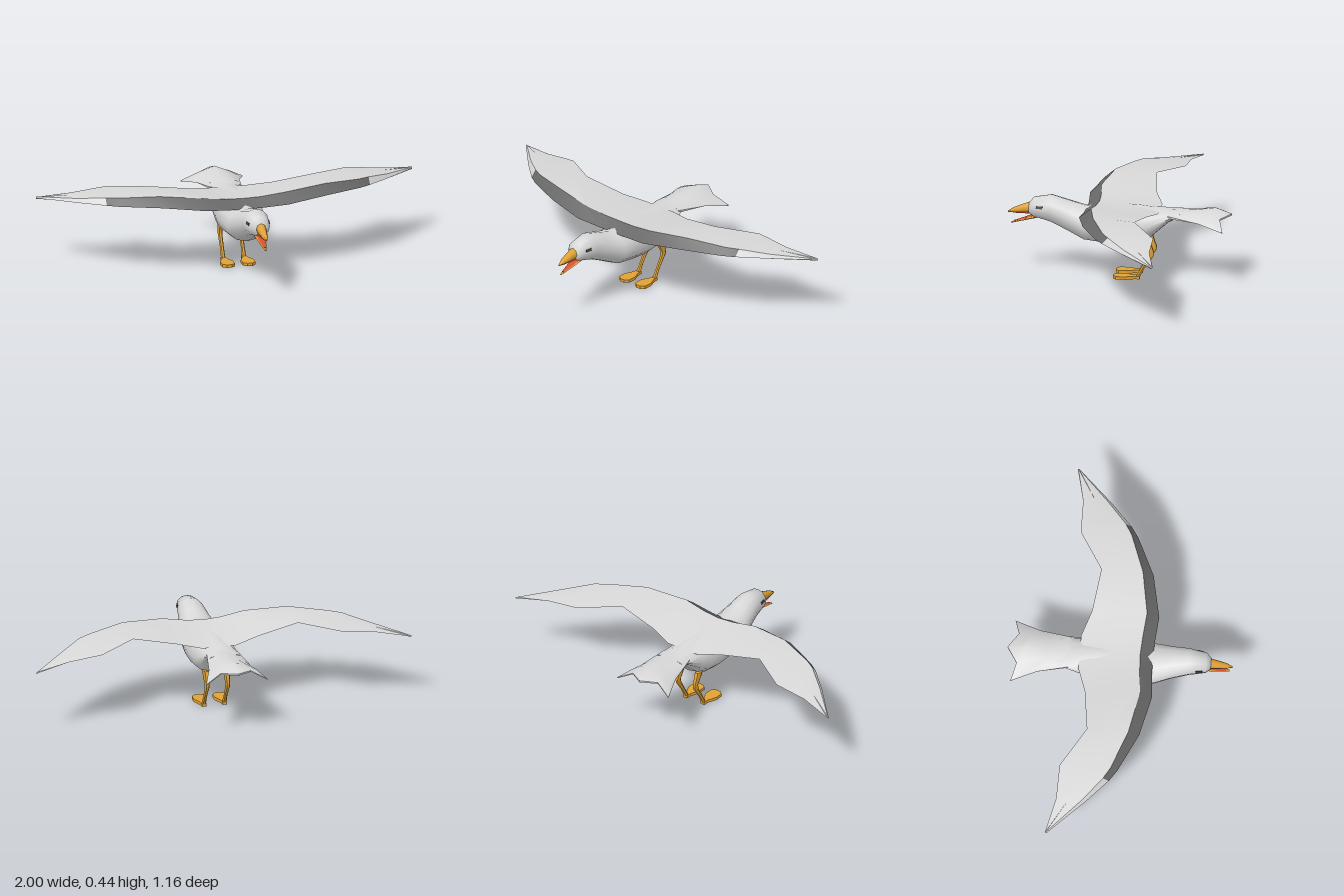
import * as THREE from 'three';
import { toCreasedNormals } from 'three/addons/utils/BufferGeometryUtils.js';

const paint = (name, color) => {
  const m = new THREE.MeshStandardMaterial({ color });
  m.name = name;
  return m;
};

// Skin closed rings of points into a capped solid whose faces point outwards
function loft(rings, crease = 0.9) {
  const n = rings[0].length, tris = [];
  const centre = (r) => r.reduce((s, p) => s.add(p), new THREE.Vector3()).divideScalar(n);
  for (let i = 0; i < rings.length - 1; i++) {
    for (let j = 0; j < n; j++) {
      const k = (j + 1) % n;
      const a = rings[i][j], b = rings[i][k], c = rings[i + 1][k], d = rings[i + 1][j];
      tris.push([a, b, c], [a, c, d]);
    }
  }
  const first = rings[0], last = rings[rings.length - 1];
  const c0 = centre(first), c1 = centre(last);
  for (let j = 0; j < n; j++) {
    const k = (j + 1) % n;
    tris.push([c0, first[k], first[j]], [c1, last[j], last[k]]);
  }
  const volume = tris.reduce((s, [a, b, c]) => s + a.dot(b.clone().cross(c)), 0);
  const pos = [];
  for (const [a, b, c] of tris) {
    for (const p of volume < 0 ? [a, c, b] : [a, b, c]) pos.push(p.x, p.y, p.z);
  }
  const g = new THREE.BufferGeometry();
  g.setAttribute('position', new THREE.Float32BufferAttribute(pos, 3));
  return toCreasedNormals(g, crease);
}

// Elliptical rings along z from [z, top, bottom, half width]
const zRings = (rows, sides) => rows.map(([z, top, bottom, hw]) =>
  Array.from({ length: sides }, (_, j) => {
    const a = (j / sides) * Math.PI * 2;
    return new THREE.Vector3(Math.cos(a) * hw, (top + bottom) / 2 + Math.sin(a) * (top - bottom) / 2, z);
  }));

export function createModel() {
  const model = new THREE.Group();
  model.name = 'bird';
  const grey = paint('plumage grey', 0xd8d8d8);
  const edgeGrey = paint('wing edge dark grey', 0x686868);
  const orange = paint('beak and leg orange', 0xe0a234);
  const red = paint('mouth and sole red', 0xd2522e);
  const dark = paint('eye dark', 0x444444);
  const add = (name, geometry, material, parent = model) => {
    const m = new THREE.Mesh(geometry, material);
    m.name = name;
    parent.add(m);
    return m;
  };

  // Head, neck and body
  add('body', loft(zRings([
    [0.47, 0.375, 0.315, 0.03], [0.445, 0.405, 0.3, 0.053], [0.355, 0.421, 0.275, 0.07],
    [0.27, 0.396, 0.235, 0.085], [0.18, 0.368, 0.19, 0.108], [0.08, 0.385, 0.178, 0.12],
    [-0.02, 0.388, 0.17, 0.12], [-0.1, 0.385, 0.18, 0.115], [-0.16, 0.378, 0.212, 0.105],
    [-0.26, 0.366, 0.305, 0.09], [-0.32, 0.362, 0.34, 0.08],
  ], 12), 1.2), grey);

  // Wings: [x, nose z, nose y, ridge z, ridge y, trailing z, trailing y, thickness]
  const half = [
    [1, -0.295, 0.355, -0.298, 0.358, -0.305, 0.355, 0.002],
    [0.82, -0.11, 0.372, -0.13, 0.39, -0.262, 0.382, 0.01],
    [0.7, 0.0, 0.382, -0.03, 0.416, -0.26, 0.396, 0.018],
    [0.64, 0.04, 0.384, 0.005, 0.42, -0.258, 0.402, 0.02],
    [0.44, 0.135, 0.39, 0.08, 0.436, -0.135, 0.424, 0.026],
    [0.22, 0.183, 0.372, 0.12, 0.42, -0.165, 0.385, 0.034],
    [0.09, 0.172, 0.362, 0.108, 0.402, -0.21, 0.364, 0.045],
  ];
  const stations = [...half, [0, 0.168, 0.36, 0.103, 0.398, -0.21, 0.364, 0.045],
    ...half.slice().reverse().map(([x, ...rest]) => [-x, ...rest])];
  const wings = loft(stations.map(([x, nz, ny, rz, ry, tz, ty, t]) => {
    const mz = (rz + tz) / 2, my = (ry + ty) / 2 + 0.004;
    return [[nz, ny], [rz, ry], [mz, my], [tz, ty], [mz, my - t], [rz, ry - t - 0.006]]
      .map(([z, y]) => new THREE.Vector3(x, y, z));
  }), 0.6);
  // The sloping front edge, the first strip of each span, is dark out to the wrist
  const spans = stations.length - 1;
  for (let i = 0; i < spans; i++) {
    wings.addGroup(i * 36, 6, i > 1 && i < spans - 2 ? 1 : 0);
    wings.addGroup(i * 36 + 6, 30, 0);
  }
  wings.addGroup(spans * 36, 36, 0);
  add('wings', wings, [grey, edgeGrey]);

  // Fanned tail with drooping corners: columns of [x, z, y] from root to tip
  const columns = [
    [[0.082, -0.26, 0.345], [0.08, -0.385, 0.342], [0.125, -0.48, 0.322], [0.165, -0.555, 0.298]],
    [[0.045, -0.26, 0.352], [0.045, -0.385, 0.352], [0.065, -0.47, 0.355], [0.08, -0.53, 0.342]],
    [[0, -0.26, 0.354], [0, -0.385, 0.356], [0, -0.5, 0.372], [0, -0.583, 0.35]],
  ];
  const fan = [...columns, ...columns.slice(0, 2).reverse().map((c) => c.map(([x, z, y]) => [-x, z, y]))];
  add('tail', loft(fan.map((c, i) => {
    const t = [0.006, 0.009, 0.012][Math.min(i, 4 - i)];
    const line = (lift) => c.map(([x, z, y], k) => new THREE.Vector3(x, y + lift * (k === 3 ? 0.4 : 1), z));
    return [...line(t), ...line(-t).reverse()];
  }), 0.8), grey);

  // Open beak with red lining
  add('upperBeak', loft(zRings([
    [0.44, 0.388, 0.318, 0.03], [0.5, 0.365, 0.318, 0.023],
    [0.55, 0.345, 0.317, 0.015], [0.58, 0.325, 0.315, 0.004],
  ], 8)), orange);
  add('lowerBeak', loft(zRings([
    [0.43, 0.314, 0.294, 0.028], [0.5, 0.288, 0.277, 0.019], [0.565, 0.265, 0.259, 0.005],
  ], 8)), orange);
  add('palate', loft(zRings([
    [0.44, 0.322, 0.315, 0.024], [0.5, 0.322, 0.316, 0.018], [0.555, 0.319, 0.315, 0.008],
  ], 6)), red);
  add('tongue', loft(zRings([
    [0.44, 0.315, 0.307, 0.023], [0.5, 0.291, 0.284, 0.016], [0.55, 0.274, 0.268, 0.007],
  ], 6)), red);

  // Foot outline, heel to toe
  const side = [[0.012, -0.112], [0.015, -0.08], [0.034, -0.035], [0.033, 0.01], [0.014, 0.026]];
  const outline = new THREE.Shape([...side, ...side.slice().reverse().map(([x, z]) => [-x, z])]
    .map(([x, z]) => new THREE.Vector2(x, z)));
  const footGeometry = new THREE.ExtrudeGeometry(outline, { depth: 0.016, bevelEnabled: false });
  footGeometry.rotateX(Math.PI / 2).translate(0, 0.018, 0);
  const soleGeometry = new THREE.ShapeGeometry(outline).rotateX(Math.PI / 2);

  // Leg rings: [y, z, half width, half depth]
  const legGeometry = loft([
    [0.215, -0.14, 0.018, 0.027], [0.19, -0.15, 0.017, 0.023], [0.145, -0.171, 0.013, 0.017],
    [0.125, -0.168, 0.012, 0.016], [0.06, -0.127, 0.01, 0.011], [0.01, -0.1, 0.012, 0.012],
  ].map(([y, z, rx, rz]) => Array.from({ length: 6 }, (_, j) => {
    const a = (j / 6) * Math.PI * 2;
    return new THREE.Vector3(Math.cos(a) * rx, y, z + Math.sin(a) * rz);
  })));

  for (const s of [1, -1]) {
    const label = s > 0 ? 'left' : 'right';
    const leg = new THREE.Group();
    leg.name = label + 'Leg';
    leg.position.x = s * 0.055;
    model.add(leg);
    add(label + 'Shank', legGeometry, orange, leg);
    add(label + 'Foot', footGeometry, orange, leg);
    add(label + 'Sole', soleGeometry, red, leg);

    // Eye plate on the side of the head
    const eye = add(label + 'Eye', new THREE.BoxGeometry(0.006, 0.014, 0.034), dark);
    eye.position.set(s * 0.0565, 0.363, 0.412);
    eye.rotation.set(0, -s * 0.17, s * 0.25);
  }
  return model;
}
